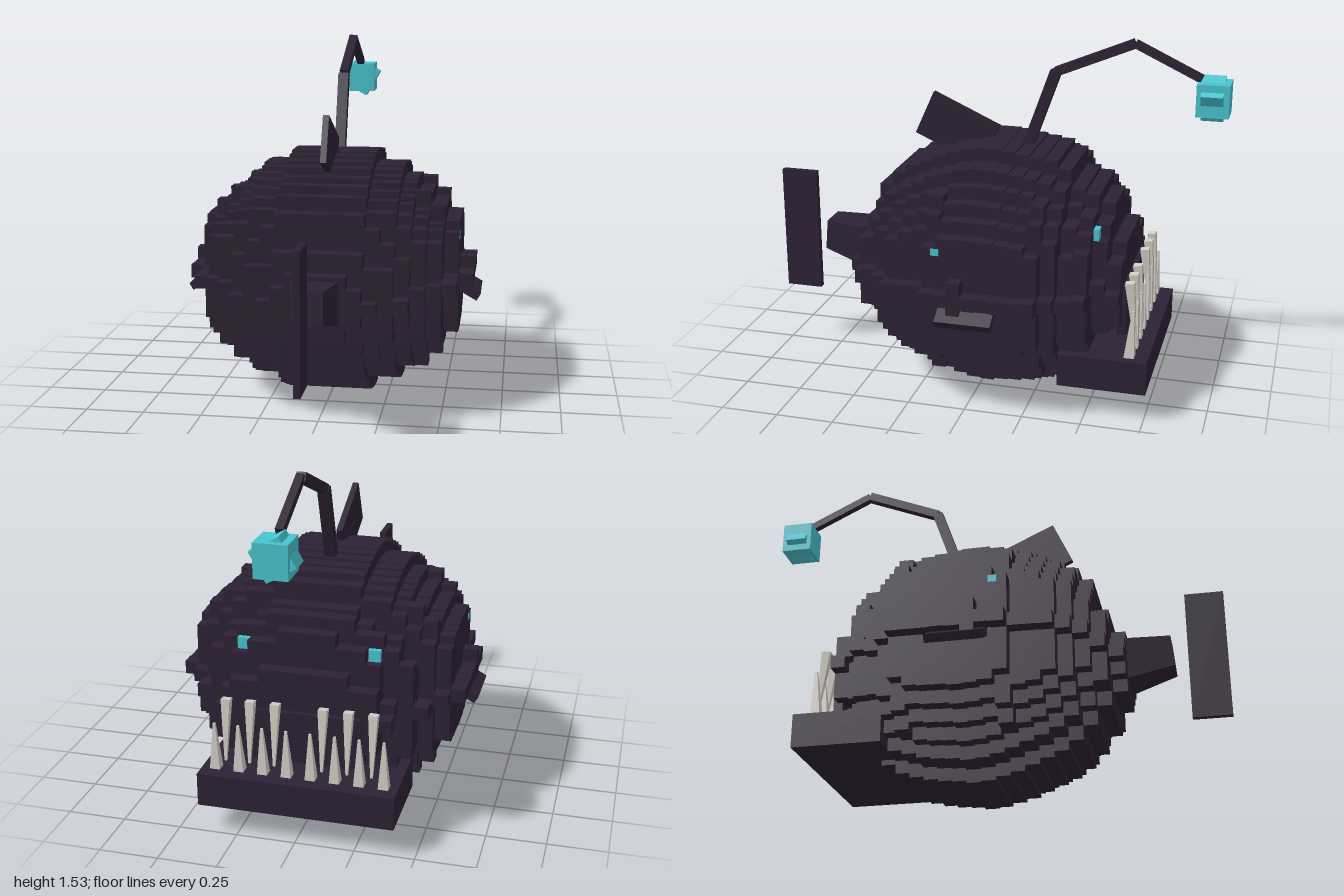
import * as THREE from 'three';

export function createModel() {
  const model = new THREE.Group();
  const skin = new THREE.MeshStandardMaterial({ name: 'dark skin', color: 0x2e2235 });
  const glow = new THREE.MeshStandardMaterial({ name: 'cyan glow', color: 0x49c5d0 });
  const ivory = new THREE.MeshStandardMaterial({ name: 'ivory teeth', color: 0xd3cec6 });

  const add = (name, geometry, material, x = 0, y = 0, z = 0) => {
    const mesh = new THREE.Mesh(geometry, material);
    mesh.name = name;
    mesh.position.set(x, y, z);
    model.add(mesh);
    return mesh;
  };
  // box given by its min and max on each axis
  const box = (name, material, x0, x1, y0, y1, z0, z1) =>
    add(name, new THREE.BoxGeometry(x1 - x0, y1 - y0, z1 - z0), material,
      (x0 + x1) / 2, (y0 + y1) / 2, (z0 + z1) / 2);

  // Stepped body: one blocky disc per slice, tail to face
  // [half width in blocks, bottom, top]
  const slices = [
    [3, 0.37, 0.64], [5, 0.29, 0.72], [6, 0.21, 0.87], [7, 0.15, 0.93], [8, 0.11, 0.965],
    [8, 0.085, 0.99], [8, 0.06, 1.02], [9, 0.035, 1.04], [9, 0.02, 1.055], [9, 0.005, 1.065],
    [9, 0, 1.065], [9, 0.01, 1.06], [9, 0.015, 1.05], [9, 0.025, 1.04], [9, 0.04, 1.03],
    [8, 0.06, 1.0], [7, 0.1, 0.92], [7, 0.14, 0.9], [5, 0.25, 0.85], [5, 0.31, 0.7],
  ];
  const block = 0.0615, depth = 0.0603, tailZ = 0.585;
  slices.forEach(([w, y0, y1], i) => {
    const n = 2 * Math.floor((y1 - y0) / 2 / 0.056) + 1;
    const rowHeight = (y1 - y0) / n;
    const right = [], left = [];
    for (let r = 0; r < n; r++) {
      const t = (r - (n - 1) / 2) / (n / 2);
      const x = Math.round((w + 0.5) * Math.sqrt(1 - t * t)) * block;
      for (const y of [y0 + r * rowHeight, y0 + (r + 1) * rowHeight]) {
        right.push(new THREE.Vector2(x, y));
        left.unshift(new THREE.Vector2(-x, y));
      }
    }
    const geometry = new THREE.ExtrudeGeometry(new THREE.Shape([...right, ...left]),
      { depth, bevelEnabled: false });
    add('bodySlice', geometry, skin, 0, 0, tailZ - (i + 1) * depth);
  });
  box('face', skin, -0.25, 0.25, 0.31, 0.53, -0.64, -0.6);

  // Tail stalk: a box narrowed towards the back
  const stalk = new THREE.BoxGeometry(0.2, 0.2, 0.2);
  const p = stalk.attributes.position;
  for (let i = 0; i < p.count; i++) {
    const back = p.getZ(i) > 0, up = p.getY(i) > 0;
    p.setXYZ(i, Math.sign(p.getX(i)) * (back ? 0.065 : 0.1),
      back ? (up ? 0.63 : 0.495) : (up ? 0.62 : 0.435),
      back ? (up ? 0.768 : 0.78) : 0.57);
  }
  stalk.computeVertexNormals();
  add('tailStalk', stalk, skin);
  box('tailFin', skin, -0.014, 0.014, 0.275, 0.84, 0.835, 1.0);

  // Back fin
  add('dorsalFin', new THREE.BoxGeometry(0.026, 0.205, 0.323), skin, 0, 1.09, 0.165)
    .rotation.x = -0.425;

  // Jaw
  box('jaw', skin, -0.413, 0.413, 0.122, 0.265, -0.755, -0.38);

  // Side fins and eyes
  for (const s of [-1, 1]) {
    add('finRoot', new THREE.BoxGeometry(0.1, 0.145, 0.055), skin, s * 0.565, 0.547, 0.015);
    add('sideFin', new THREE.BoxGeometry(0.15, 0.035, 0.235), skin, s * 0.573, 0.483, -0.033)
      .rotation.z = -s * 0.52;
    add('rearEye', new THREE.BoxGeometry(0.036, 0.03, 0.035), glow, s * 0.537, 0.725, 0.105);
    add('frontEye', new THREE.BoxGeometry(0.05, 0.05, 0.03), glow, s * 0.275, 0.765, -0.508);
  }

  // Teeth: four-sided spikes between two points
  const up = new THREE.Vector3(0, 1, 0);
  const beam = (name, a, b, r0, r1, material) => {
    const d = b.clone().sub(a);
    const geometry = new THREE.CylinderGeometry(r1 * Math.SQRT2, r0 * Math.SQRT2, d.length(), 4, 1)
      .rotateY(Math.PI / 4).toNonIndexed();
    geometry.computeVertexNormals();
    const m = a.clone().add(b).multiplyScalar(0.5);
    add(name, geometry, material, m.x, m.y, m.z)
      .quaternion.setFromUnitVectors(up, d.normalize());
  };
  const v = (x, y, z) => new THREE.Vector3(x, y, z);
  for (let i = 0; i < 8; i++) {
    const x = (i - 3.5) * 0.1014;
    beam('lowerTooth', v(x, 0.26, -0.675), v(x, 0.47, -0.685), 0.022, 0.005, ivory);
  }
  for (const s of [-1, 1]) for (const x of [0.1, 0.205, 0.307]) {
    beam('upperTooth', v(s * x, 0.575, -0.66), v(s * x, 0.31, -0.69), 0.019, 0.005, ivory);
  }

  // Lure rod
  const rod = [v(0, 0.98, -0.13), v(0, 1.37, -0.268), v(0, 1.508, -0.6), v(0, 1.375, -0.88)];
  const radii = [0.023, 0.019, 0.016];
  radii.forEach((r, i) => beam('lureRod', rod[i], rod[i + 1], r, r, skin));

  // Glowing lure: two crossed blocks
  box('lure', glow, -0.067, 0.067, 1.23, 1.367, -1.0, -0.865);
  add('lureTwist', new THREE.BoxGeometry(0.134, 0.134, 0.092), glow, 0, 1.298, -0.93)
    .rotation.z = -Math.PI / 6;

  return model;
}
